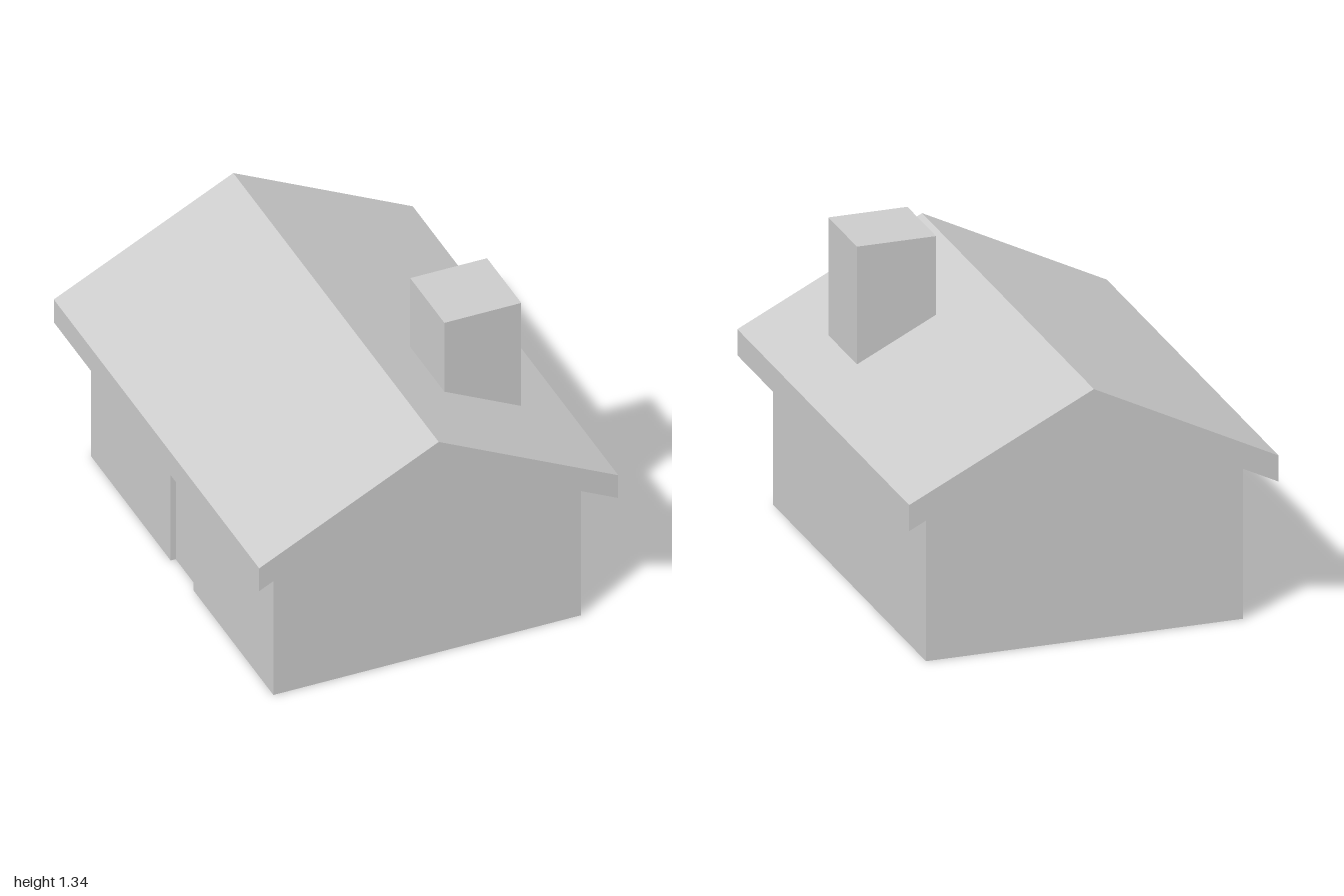
import * as THREE from 'three';

const material = new THREE.MeshStandardMaterial({ color: 0xcccccc, flatShading: true });

// Extrudes an [x, y] outline from z0 to z1
function prism(name, points, z0, z1) {
  const shape = new THREE.Shape(points.map(([x, y]) => new THREE.Vector2(x, y)));
  const geometry = new THREE.ExtrudeGeometry(shape, { depth: z1 - z0, bevelEnabled: false });
  geometry.translate(0, 0, z0);
  const mesh = new THREE.Mesh(geometry, material);
  mesh.name = name;
  return mesh;
}

function box(name, size, position) {
  const mesh = new THREE.Mesh(new THREE.BoxGeometry(...size), material);
  mesh.name = name;
  mesh.position.set(...position);
  return mesh;
}

export function createModel() {
  const house = new THREE.Group();
  house.name = 'house';

  const halfWidth = 0.667, halfDepth = 0.889, peak = 1.0;
  const doorHalf = 0.111, doorHeight = 0.444, nicheDepth = 0.1;
  const underside = (x) => peak - Math.abs(x) * 0.5;

  // Gabled walls, with a doorway niche cut into the middle of the -x side
  const gable = [[halfWidth, 0], [halfWidth, underside(halfWidth)], [0, peak], [-halfWidth, underside(halfWidth)]];
  const full = [[-halfWidth, 0], ...gable];
  const notched = [
    [-halfWidth + nicheDepth, 0], ...gable,
    [-halfWidth, doorHeight], [-halfWidth + nicheDepth, doorHeight],
  ];
  const walls = new THREE.Group();
  walls.name = 'walls';
  walls.add(
    prism('backWalls', full, -halfDepth, -doorHalf),
    prism('doorwayWalls', notched, -doorHalf, doorHalf),
    prism('frontWalls', full, doorHalf, halfDepth),
  );
  house.add(walls);

  // Door panel, set slightly back in the niche
  house.add(box('door', [0.056, doorHeight, doorHalf * 2], [-halfWidth + 0.05, doorHeight / 2, 0]));

  // Pitched roof slab with overhanging eaves and vertical fascias
  const eave = 0.778, thickness = 0.111;
  house.add(prism('roof', [
    [-eave, underside(eave)], [0, peak], [eave, underside(eave)],
    [eave, underside(eave) + thickness], [0, peak + thickness], [-eave, underside(eave) + thickness],
  ], -1, 1));

  // Square chimney rising through the +x slope
  const chimneyTop = 1.335, chimneyBase = 0.78;
  house.add(box('chimney', [0.333, chimneyTop - chimneyBase, 0.333],
    [0.389, (chimneyTop + chimneyBase) / 2, 0.389]));

  return house;
}
